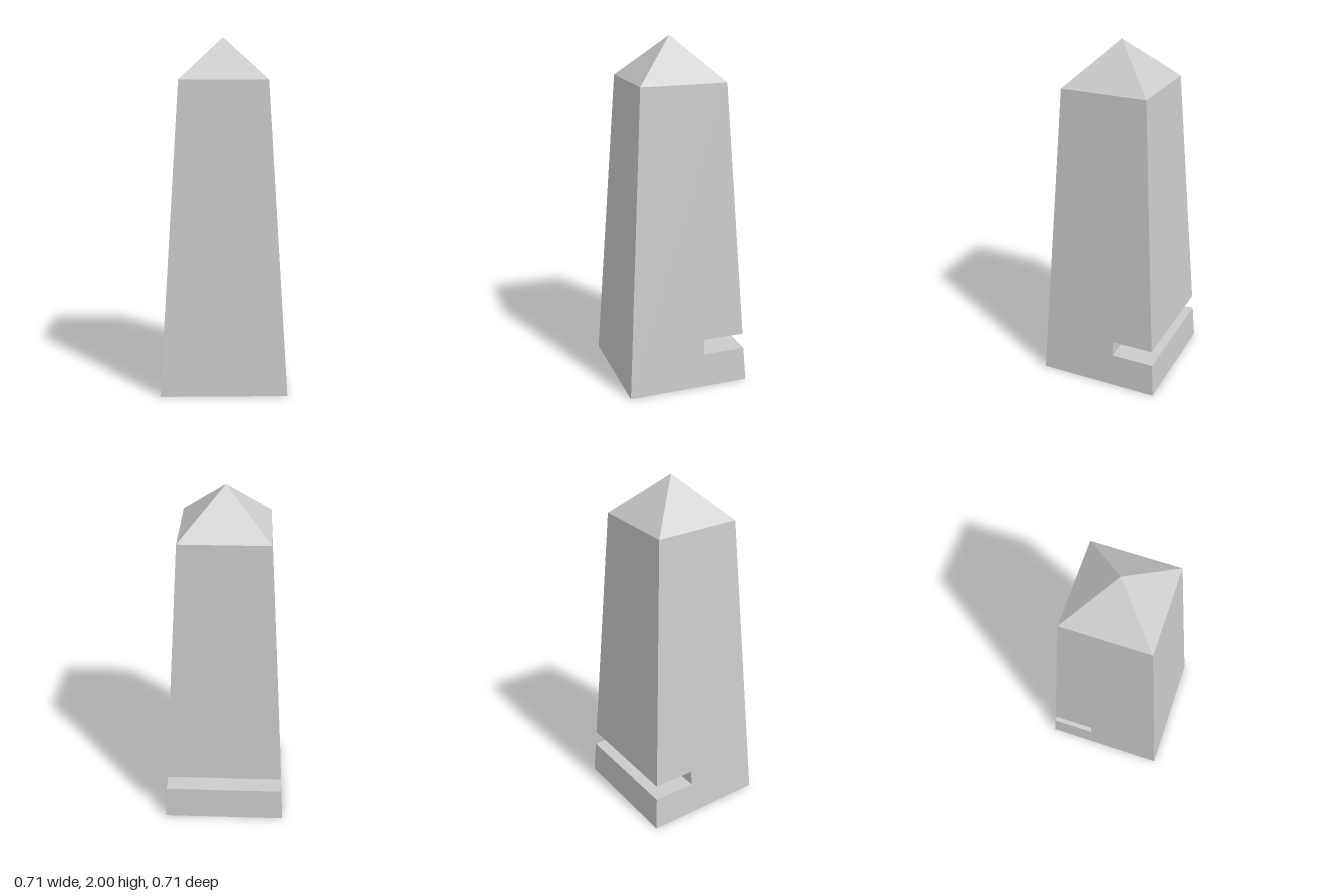
import * as THREE from 'three';

const SHAFT_TOP = 1.76, TIP = 2;
const BASE_HALF = 0.356, TOP_HALF = 0.248;
const SLOT = { bottom: 0.2, top: 0.29, depthZ: -0.093 };

// Half width of the tapering shaft at height y
const halfAt = (y) => BASE_HALF + (TOP_HALF - BASE_HALF) * (y / SHAFT_TOP);

export function createModel() {
  const group = new THREE.Group();
  group.name = 'obelisk';
  const material = new THREE.MeshStandardMaterial({ color: 0xcccccc, flatShading: true });

  // Shaft: side profile with the slot cut into the back (profile x is -z)
  const profile = new THREE.Shape([
    [-BASE_HALF, 0],
    [BASE_HALF, 0],
    [halfAt(SLOT.bottom), SLOT.bottom],
    [-SLOT.depthZ, SLOT.bottom],
    [-SLOT.depthZ, SLOT.top],
    [halfAt(SLOT.top), SLOT.top],
    [TOP_HALF, SHAFT_TOP],
    [-TOP_HALF, SHAFT_TOP],
  ].map(([x, y]) => new THREE.Vector2(x, y)));
  const shaftGeometry = new THREE.ExtrudeGeometry(profile, { depth: 2, bevelEnabled: false });
  shaftGeometry.translate(0, 0, -1).rotateY(Math.PI / 2);

  // Taper the width with height
  const position = shaftGeometry.attributes.position;
  for (let i = 0; i < position.count; i++) {
    position.setX(i, position.getX(i) * halfAt(position.getY(i)));
  }
  shaftGeometry.computeVertexNormals();
  const shaft = new THREE.Mesh(shaftGeometry, material);
  shaft.name = 'slottedShaft';

  // Pyramid cap
  const capHeight = TIP - SHAFT_TOP;
  const capGeometry = new THREE.ConeGeometry(TOP_HALF * Math.SQRT2, capHeight, 4, 1, true);
  capGeometry.rotateY(Math.PI / 4).translate(0, SHAFT_TOP + capHeight / 2, 0);
  const cap = new THREE.Mesh(capGeometry, material);
  cap.name = 'pyramidCap';

  group.add(shaft, cap);
  return group;
}
